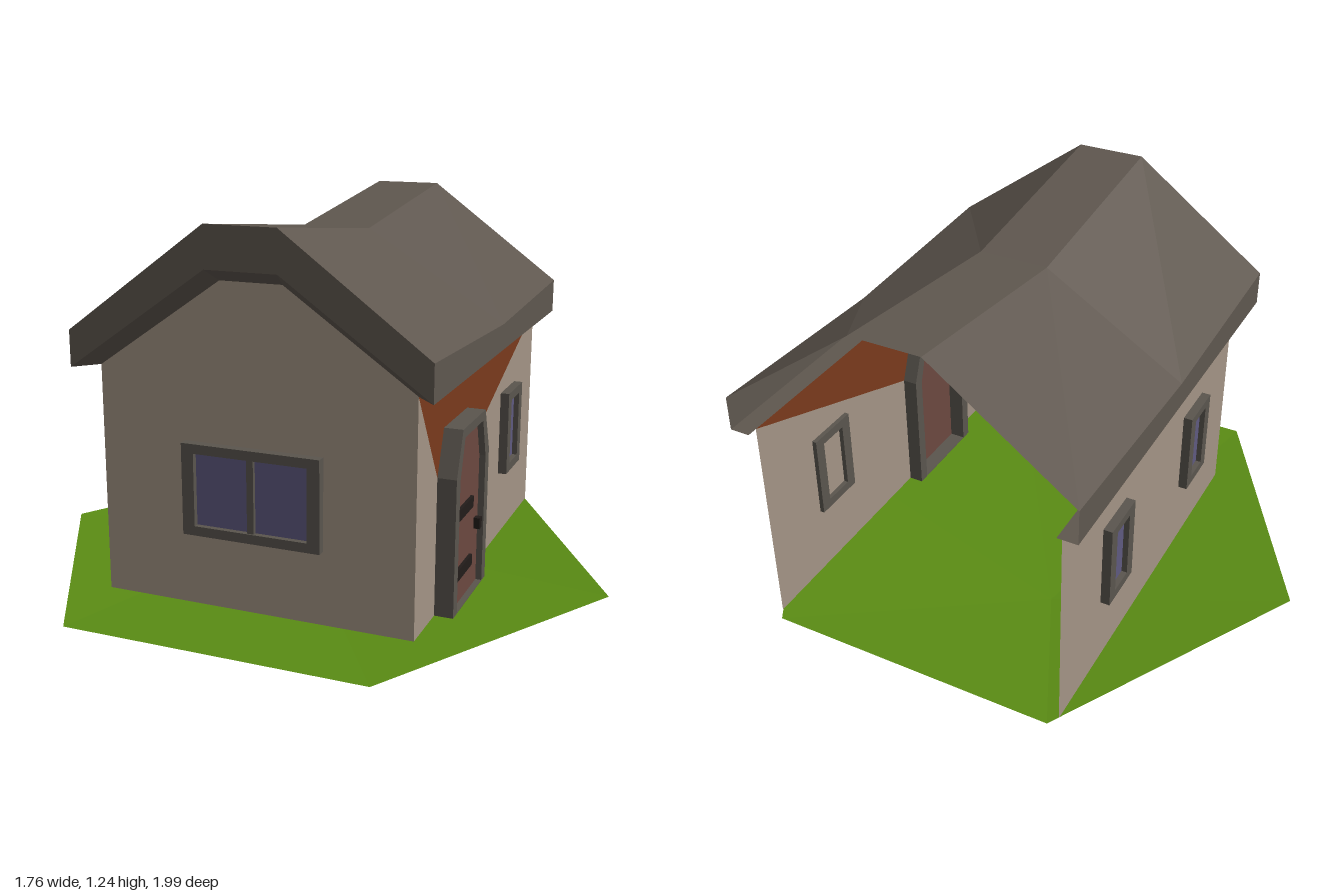
import * as THREE from 'three';

const mat = (color) => new THREE.MeshStandardMaterial({ color, flatShading: true, side: THREE.DoubleSide });

export function createModel() {
  const wallMat = mat(0xa39485), roofMat = mat(0x5f574f), frameMat = mat(0x5a554e), doorMat = mat(0x6b4840);
  const ironMat = mat(0x221c1a), rustMat = mat(0x7a3a1c), grassMat = mat(0x5a8c14), glassMat = mat(0x5f5a80);

  const model = new THREE.Group();
  const house = new THREE.Group();
  house.name = 'house';
  house.rotation.y = Math.PI / 6;
  house.position.set(-0.02, 0, -0.083);
  model.add(house);

  const add = (parent, name, geometry, material, x = 0, y = 0, z = 0) => {
    const mesh = new THREE.Mesh(geometry, material);
    mesh.name = name;
    mesh.position.set(x, y, z);
    parent.add(mesh);
    return mesh;
  };
  const box = (w, h, d) => new THREE.BoxGeometry(w, h, d);
  const shape = (pts) => new THREE.Shape(pts.map(([x, y]) => new THREE.Vector2(x, y)));
  const flat = (pts) => new THREE.ShapeGeometry(shape(pts));
  const ring = (outer, inner, depth) => {
    const s = shape(outer);
    s.holes.push(shape(inner));
    return new THREE.ExtrudeGeometry(s, { depth, bevelEnabled: false });
  };
  const rect = (w, h) => [[-w / 2, -h / 2], [w / 2, -h / 2], [w / 2, h / 2], [-w / 2, h / 2]];

  // surface stretched over rows of points
  const loft = (rows) => {
    const pos = [];
    for (let i = 0; i < rows.length - 1; i++) {
      for (let j = 0; j < rows[i].length - 1; j++) {
        const a = rows[i][j], b = rows[i][j + 1], c = rows[i + 1][j + 1], d = rows[i + 1][j];
        pos.push(...a, ...d, ...c, ...a, ...c, ...b);
      }
    }
    const g = new THREE.BufferGeometry();
    g.setAttribute('position', new THREE.Float32BufferAttribute(pos, 3));
    g.computeVertexNormals();
    return g;
  };

  // hexagonal lawn, slightly dished
  const lawn = new THREE.CircleGeometry(0.975, 6).rotateZ(Math.PI / 6).rotateX(-Math.PI / 2).translate(0.04, 0.05, 0.02);
  lawn.attributes.position.setXYZ(0, -0.32, 0, -0.13);
  add(model, 'lawn', lawn, grassMat);

  // walls; the rear gable is open
  const W = 0.51, front = 0.657, back = -0.69, eave = 0.785, base = 0.05;
  const doorZ = 0.288, doorW = 0.177, spring = 0.49;
  add(house, 'frontWall',
    flat([[-W, base], [W, base], [W, eave], [0.1, 1.07], [-0.1, 1.07], [-W, eave]]), wallMat, 0, 0, front);
  add(house, 'leftSideWall', loft([
    [[-W, base, back], [-W, base, front]],
    [[-W, eave, back], [-W, eave, front]]]), wallMat);
  // side wall with the entrance: shape x runs toward the rear
  const side = new THREE.Group();
  side.name = 'entranceSide';
  side.position.x = W;
  side.rotation.y = Math.PI / 2;
  house.add(side);
  const d0 = -doorZ - doorW, d1 = -doorZ + doorW;
  add(side, 'entranceWallFront', flat([[-front, base], [d0, base], [d0, spring], [-front, eave]]), wallMat);
  add(side, 'entranceWallRear', flat([[d1, base], [-back, base], [-back, eave], [d1, spring]]), wallMat);
  add(side, 'gablePanel', flat([[d0, spring], [d1, spring], [-back, eave], [-front, eave]]), rustMat);

  // door with chamfered arch
  const arch = (w, t, y0, y1, y2) => [[-w, y0], [w, y0], [w, y1], [t, y2], [-t, y2], [-w, y1]];
  const door = new THREE.Group();
  door.name = 'door';
  door.position.x = -doorZ;
  side.add(door);
  add(door, 'doorFrame',
    ring(arch(doorW, 0.122, base, spring, 0.63), arch(0.138, 0.098, base + 0.002, 0.475, 0.6), 0.11),
    frameMat, 0, 0, -0.05);
  add(door, 'doorLeaf',
    new THREE.ExtrudeGeometry(shape(arch(0.14, 0.1, 0.012, 0.475, 0.602)), { depth: 0.035, bevelEnabled: false }),
    doorMat, 0, 0, 0.005);
  for (const y of [0.155, 0.35]) add(door, 'hingeStrap', box(0.185, 0.036, 0.012), ironMat, -0.04, y, 0.044);
  add(door, 'doorHandle', box(0.025, 0.036, 0.024), ironMat, 0.107, 0.26, 0.048);

  // windows
  const addWindow = (name, x, z, angle, w, panes) => {
    const g = new THREE.Group();
    g.name = name;
    g.position.set(x, 0.43, z);
    g.rotation.y = angle;
    const h = 0.29;
    add(g, 'windowFrame', ring(rect(w, h), rect(w - 0.08, h - 0.06), 0.045), frameMat, 0, 0, -0.015);
    add(g, 'windowGlass', box(w - 0.07, h - 0.05, 0.012), glassMat, 0, 0, 0.006);
    if (panes > 1) add(g, 'windowMullion', box(0.022, h - 0.05, 0.03), frameMat, 0, 0, 0.01);
    house.add(g);
  };
  addWindow('frontWindow', 0, front, 0, 0.45, 2);
  addWindow('entranceSideWindow', W, -0.345, Math.PI / 2, 0.185, 1);
  for (const z of [-0.322, 0.322]) addWindow('sideWindow', -W, z, -Math.PI / 2, 0.17, 1);

  // sagging roof skin with eave faces
  const R = 0.575, L = 0.725, T = 0.115;
  const section = (z, e, r) =>
    [[-R, eave, z], [-R, e, z], [-T, r, z], [T, r, z], [R, e, z], [R, eave, z]];
  add(house, 'roof', loft([section(L, 0.9, 1.24), section(0, 0.87, 1.155), section(-L, 0.9, 1.24)].reverse()), roofMat);
  // front barge board and its soffit
  const edge = (w, y, t, top, z) => [[-w, y, z], [-t, top, z], [t, top, z], [w, y, z]];
  add(house, 'bargeBoard', loft([
    edge(R, 0.9, T, 1.24, L), edge(R, eave, T, 1.11, L), edge(W, eave, 0.1, 1.07, front)]), roofMat);
  // eave soffits
  for (const s of [-1, 1]) {
    add(house, 'eaveSoffit', loft([
      [[s * W, eave, -L], [s * R, eave, -L]],
      [[s * W, eave, front], [s * R, eave, L]]]), roofMat);
  }
  return model;
}
